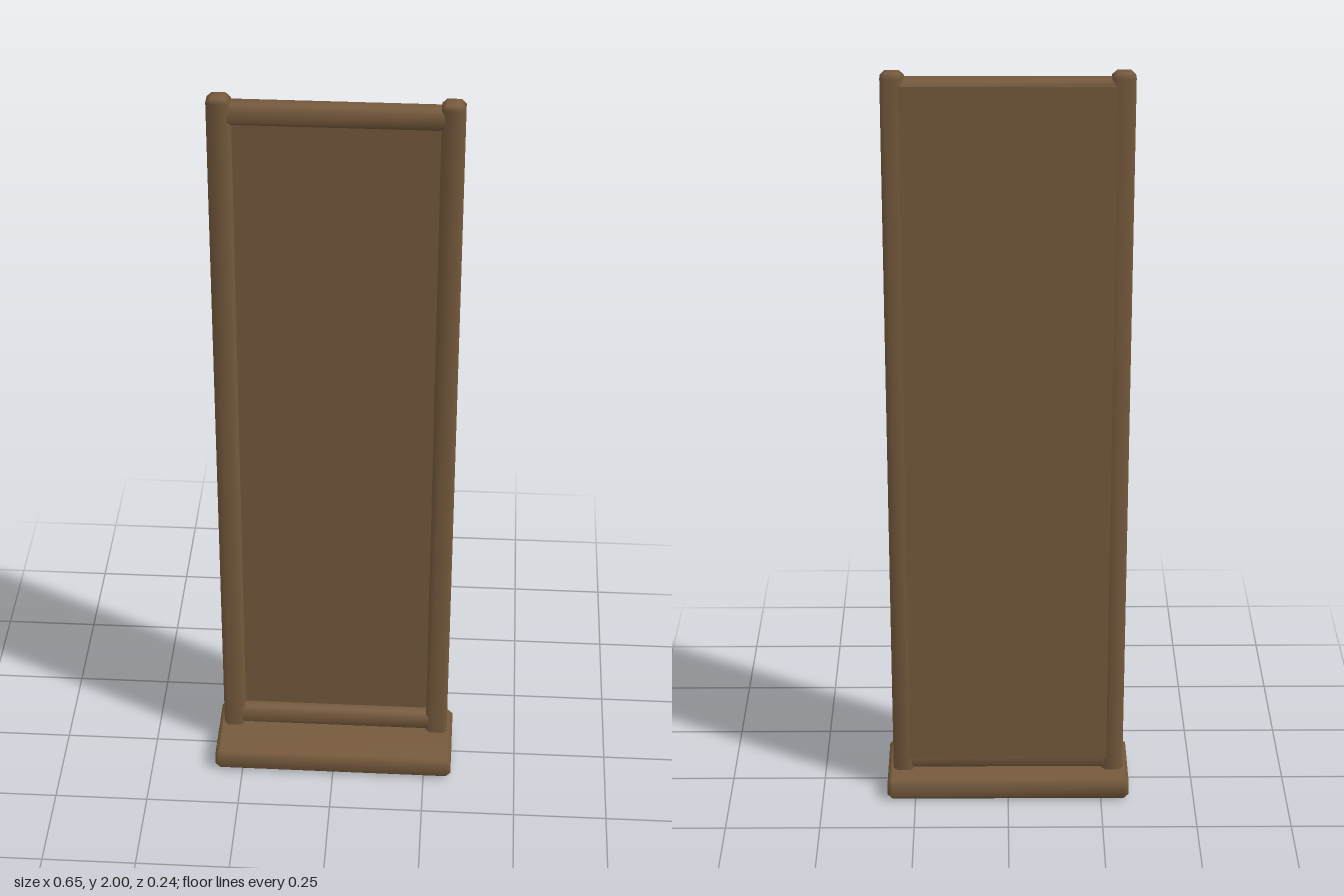
import * as THREE from 'three';
import { mergeVertices } from 'three/addons/utils/BufferGeometryUtils.js';
import { ConvexGeometry } from 'three/addons/geometries/ConvexGeometry.js';

// Box with single chamfers on every edge and softly blended normals
function chamferedBox(w, h, d, c) {
  const points = [];
  for (const x of [-1, 1]) for (const y of [-1, 1]) for (const z of [-1, 1]) {
    for (const [a, b, e] of [[0, c, c], [c, 0, c], [c, c, 0]]) {
      points.push(new THREE.Vector3(x * (w / 2 - a), y * (h / 2 - b), z * (d / 2 - e)));
    }
  }
  const geometry = new ConvexGeometry(points);
  geometry.deleteAttribute('normal');
  const merged = mergeVertices(geometry, 1e-5);
  merged.computeVertexNormals();
  return merged;
}

export function createModel() {
  const group = new THREE.Group();
  const wood = new THREE.MeshStandardMaterial({ color: 0x765a3d });
  wood.name = 'brown wood';

  const add = (name, geometry, x, y, z) => {
    const mesh = new THREE.Mesh(geometry, wood);
    mesh.name = name;
    mesh.position.set(x, y, z);
    group.add(mesh);
  };

  // Foot
  add('base', chamferedBox(0.65, 0.06, 0.238, 0.013), 0, 0.03, 0);

  // Upright posts
  const post = chamferedBox(0.058, 1.95, 0.057, 0.012);
  add('leftPost', post, 0.281, 1.025, -0.0315);
  add('rightPost', post, -0.281, 1.025, -0.0315);

  // Cross rails
  const rail = chamferedBox(0.54, 0.056, 0.054, 0.013);
  add('topRail', rail, 0, 1.957, -0.032);
  add('bottomRail', rail, 0, 0.092, -0.032);

  // Panel set near the back of the frame
  add('panel', new THREE.BoxGeometry(0.53, 1.87, 0.021), 0, 1.035, -0.0505);

  return group;
}
